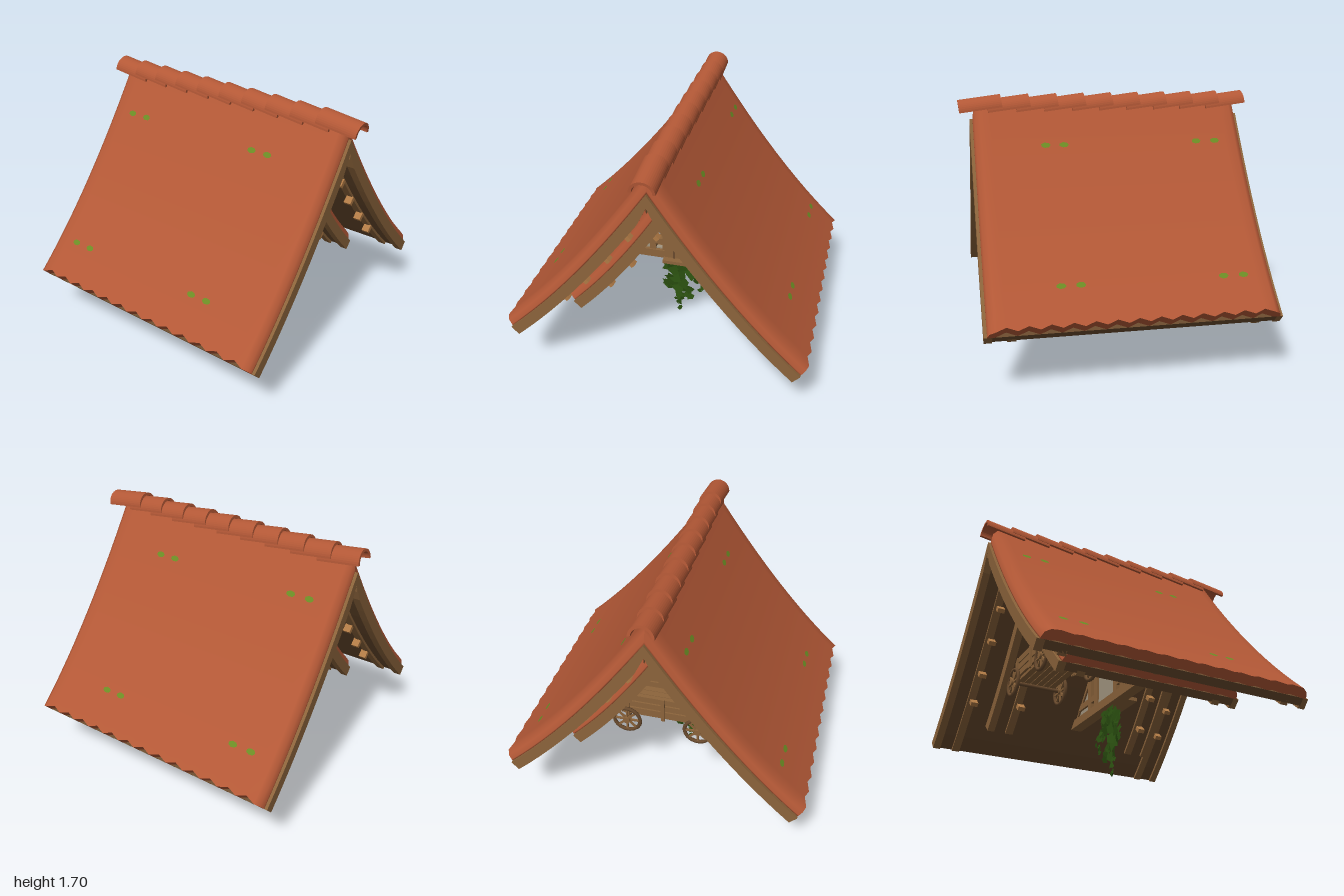
import * as THREE from 'three';

const mat = (name, color, side = THREE.FrontSide) => {
  const m = new THREE.MeshStandardMaterial({ color, side });
  m.name = name;
  return m;
};

export function createModel() {
  const tile = mat('clay tile', 0xb35836, THREE.DoubleSide);
  const wood = mat('timber', 0x8c643b);
  const dark = mat('dark timber', 0x694a2d);
  const slit = mat('slit shadow', 0x35241a);
  const peg = mat('peg wood', 0xb07a45);
  const plaster = mat('plaster', 0xa39681);
  const moss = mat('moss', 0x6b8c25, THREE.DoubleSide);
  const leaf = mat('ivy green', 0x2b5010, THREE.DoubleSide);

  const model = new THREE.Group();
  const add = (name, geo, material, x = 0, y = 0, z = 0, parent = model) => {
    const m = new THREE.Mesh(geo, material);
    m.name = name;
    m.position.set(x, y, z);
    parent.add(m);
    return m;
  };
  const box = (name, w, h, d, material, x, y, z, parent) =>
    add(name, new THREE.BoxGeometry(w, h, d), material, x, y, z, parent);

  // Sagging slope from ridge to eave; d is the depth below the tile surface
  const slope = (top, mid, eave) => {
    const curve = new THREE.QuadraticBezierCurve(
      new THREE.Vector2(0, top), new THREE.Vector2(...mid), new THREE.Vector2(...eave));
    return (t, d) => {
      const p = curve.getPoint(t), g = curve.getTangent(t);
      return t === 0 ? new THREE.Vector2(0, p.y - d / g.x)
        : new THREE.Vector2(Math.max(0, p.x + g.y * d), p.y - g.x * d);
    };
  };
  const outer = slope(1.655, [0.51, 0.88], [1, 0.43]);
  const inner = slope(1.385, [0.34, 0.82], [0.665, 0.495]);
  const N = 12, zRoof = -0.014;

  // Gable-shaped band following both slopes between two depths
  const band = (name, f, d0, d1, z0, z1, material) => {
    const pts = [];
    for (let i = -N; i <= N; i++) {
      const p = f(Math.abs(i) / N, d0);
      pts.push(new THREE.Vector2(Math.sign(i) * p.x, p.y));
    }
    for (let i = N; i >= -N; i--) {
      const p = f(Math.abs(i) / N, d1);
      pts.push(new THREE.Vector2(Math.sign(i) * p.x, p.y));
    }
    const geo = new THREE.ExtrudeGeometry(new THREE.Shape(pts), { depth: z1 - z0, bevelEnabled: false });
    return add(name, geo, material, 0, 0, z0 + zRoof);
  };

  // Tile covering: rounded verge ends and an eave cut in a zigzag
  const tileSheet = (name, f, half, waves, side) => {
    const ring = [[-half, 0.055], [-half + 0.012, 0.022]];
    for (let j = 0; j <= waves * 2; j++)
      ring.push([(half - 0.045) * (j / waves - 1), 0, j % 2 ? 0.02 : 0]);
    ring.push([half - 0.012, 0.022], [half, 0.055]);
    const all = ring.concat(ring.map(([z, , w]) => [z, 0.065, w]).reverse());
    const pos = [], idx = [], R = all.length;
    for (let i = 0; i <= N; i++) for (const [z, d, w = 0] of all) {
      const p = f(i / N - (i === N ? w : 0), d);
      pos.push(side * p.x, p.y, z);
    }
    const quad = (a, b, c, d) => side > 0 ? idx.push(a, b, c, a, c, d) : idx.push(a, c, b, a, d, c);
    for (let i = 0; i < N; i++) for (let j = 0; j < R; j++) {
      const k = (j + 1) % R;
      quad(i * R + j, i * R + k, (i + 1) * R + k, (i + 1) * R + j);
    }
    // eave end face with its own corners
    const base = pos.length / 3, last = N * R * 3;
    pos.push(...pos.slice(last, last + R * 3));
    for (let j = 0; j < ring.length - 1; j++)
      quad(base + j, base + j + 1, base + R - 2 - j, base + R - 1 - j);
    const geo = new THREE.BufferGeometry();
    geo.setAttribute('position', new THREE.Float32BufferAttribute(pos, 3));
    geo.setIndex(idx);
    geo.computeVertexNormals();
    add(name, geo, tile, 0, 0, zRoof);
  };

  // Overlapping half-round ridge tiles
  const ridge = (name, y, end, count, r) => {
    const len = 0.28, step = (2 * end - len) / (count - 1);
    const s = new THREE.Shape();
    s.absarc(0, 0, r, 0, Math.PI, false);
    s.absarc(0, 0, r - 0.018, Math.PI, 0, true);
    const geo = new THREE.ExtrudeGeometry(s, { depth: len, bevelEnabled: false, curveSegments: 10 });
    geo.translate(0, 0, -len / 2);
    for (let i = 0; i < count; i++)
      add(name, geo, tile, 0, y, end - len / 2 - i * step).rotation.x = 0.125;
  };

  // Two nested roofs: tiles, boarding, barge boards, rafters and pegs
  const roof = (label, f, half, waves, rafterZ, pegs) => {
    for (const s of [-1, 1]) {
      tileSheet(label + 'RoofTiles', f, half, waves, s);
      const z = s * (half - 0.005);
      band(label + 'BargeBoard', f, 0.064, 0.134, z - 0.025, z + 0.025, wood);
      band(label + 'Rafter', f, 0.1, 0.133, s * rafterZ - 0.027, s * rafterZ + 0.027, wood);
      for (const x of [-1, 1]) for (const t of pegs) {
        const p = f(t, 0.155);
        box(label + 'Peg', 0.03, 0.055, 0.05, peg, x * p.x, p.y, s * rafterZ).rotation.z = -x * 0.8;
      }
    }
    band(label + 'Boarding', f, 0.063, 0.116, -half + 0.02, half - 0.02, dark);
  };
  roof('outer', outer, 0.9, 13, 0.755, [0.29, 0.43, 0.58, 0.72]);
  roof('inner', inner, 0.62, 9, 0.48, [0.3, 0.55, 0.78]);
  ridge('outerRidgeTile', 1.602, 0.972, 10, 0.08);
  ridge('innerRidgeTile', 1.355, 0.67, 7, 0.075);

  // Plaster gable wall with low openings either side of the hatch
  const wallPts = [];
  for (let i = -10; i <= 10; i++) {
    const p = outer(Math.abs(i) / N, 0.1);
    wallPts.push(new THREE.Vector2(Math.sign(i) * p.x, Math.max(0.52, p.y)));
  }
  wallPts.push(new THREE.Vector2(0.8, 0.52), new THREE.Vector2(-0.8, 0.52));
  const wall = new THREE.Shape(wallPts);
  for (const x of [-0.19, 0.19]) {
    const h = new THREE.Path();
    h.moveTo(x - 0.06, 0.56).lineTo(x + 0.06, 0.56).lineTo(x + 0.06, 0.84).lineTo(x - 0.06, 0.84).closePath();
    wall.holes.push(h);
  }
  add('gableWall', new THREE.ExtrudeGeometry(wall, { depth: 0.03, bevelEnabled: false }), plaster, 0, 0, -0.015);

  // Timber framing on the wall
  box('tieBeam', 1.68, 0.06, 0.08, wood, 0, 0.52, 0);
  for (const s of [-1, 1]) {
    box('post', 0.045, 0.66, 0.06, wood, s * 0.14, 0.87, 0);
    box('outerPost', 0.045, 0.62, 0.06, wood, s * 0.235, 0.85, 0);
    box('rail', 0.3, 0.045, 0.06, wood, s * 0.3, 0.62, 0);
    box('brace', 0.05, 0.3, 0.055, wood, s * 0.35, 0.68, 0).rotation.z = s * 0.75;
    box('lintel', 0.14, 0.045, 0.065, wood, s * 0.19, 0.86, 0);
  }
  const slitShape = new THREE.Shape();
  slitShape.moveTo(-0.026, 0.92).lineTo(0.026, 0.92).lineTo(0.026, 1.14).lineTo(0, 1.185).lineTo(-0.026, 1.14).closePath();
  add('slitWindow', new THREE.ExtrudeGeometry(slitShape, { depth: 0.008, bevelEnabled: false }), slit, 0, 0, 0.016);

  // Boarded hatch and its ledge
  box('hatch', 0.25, 0.24, 0.03, wood, 0, 0.65, 0.09);
  for (const x of [-0.055, 0.055]) box('hatchBatten', 0.014, 0.2, 0.008, dark, x, 0.64, 0.108);
  box('hatchBatten', 0.1, 0.014, 0.008, dark, 0, 0.6, 0.108);
  box('hatchRail', 0.32, 0.025, 0.04, wood, -0.01, 0.77, 0.1);
  box('ledge', 0.26, 0.025, 0.14, wood, 0, 0.535, 0.08);

  // Wooden cart behind the wall
  const cart = new THREE.Group();
  cart.name = 'cart';
  cart.position.set(0, 0.65, -0.43);
  model.add(cart);
  for (let i = 0; i < 6; i++) box('cartPlank', 0.58, 0.02, 0.042, wood, 0, 0.03, -0.115 + i * 0.046, cart);
  for (const s of [-1, 1]) {
    for (let k = 0; k < 3; k++) {
      box('cartSide', 0.6, 0.042, 0.018, wood, 0, 0.065 + k * 0.052, s * 0.14, cart);
      box('cartEnd', 0.018, 0.042, 0.28, wood, s * 0.29, 0.065 + k * 0.052, 0, cart);
    }
    for (const x of [-0.24, 0, 0.24]) box('cartStake', 0.025, 0.18, 0.014, wood, x, 0.11, s * 0.155, cart);
    const axle = add('axle', new THREE.CylinderGeometry(0.014, 0.014, 0.36, 8), dark, s * 0.24, 0, 0, cart);
    axle.rotation.x = Math.PI / 2;
    for (const z of [-0.175, 0.175]) {
      const wheel = new THREE.Group();
      wheel.name = 'wheel';
      wheel.position.set(s * 0.24, 0, z);
      cart.add(wheel);
      add('rim', new THREE.TorusGeometry(0.09, 0.013, 6, 18), dark, 0, 0, 0, wheel);
      add('hub', new THREE.CylinderGeometry(0.024, 0.024, 0.04, 8), wood, 0, 0, 0, wheel).rotation.x = Math.PI / 2;
      for (let k = 0; k < 4; k++) box('spoke', 0.012, 0.17, 0.012, wood, 0, 0, 0, wheel).rotation.z = k * Math.PI / 4;
    }
  }

  // Moss patches lying on both slopes
  const patch = new THREE.CircleGeometry(1, 7);
  for (const s of [-1, 1]) for (const t of [0.187, 0.805]) for (const z of [0.43, 0.31, -0.59, -0.72]) {
    const p = outer(t, -0.005), q = outer(t + 0.02, -0.005);
    const m = add('moss', patch, moss, s * p.x, p.y, z);
    m.scale.set(0.032, 0.02, 1);
    m.rotation.set(0, s * Math.PI / 2, 0);
    m.rotateX(-Math.atan2(q.x - p.x, p.y - q.y));
  }

  // Hanging ivy: a spray of flat angular leaves
  let seed = 7;
  const rnd = () => (seed = (seed * 16807) % 2147483647) / 2147483647;
  const ls = new THREE.Shape();
  ls.moveTo(0, -1).lineTo(0.75, -0.1).lineTo(0.45, 0.8).lineTo(0, 0.5).lineTo(-0.6, 0.75).lineTo(-0.7, -0.2).closePath();
  const leafGeo = new THREE.ShapeGeometry(ls);
  const ivy = new THREE.Group();
  ivy.name = 'ivy';
  model.add(ivy);
  const spray = (x, y, w, h, n, size) => {
    for (let i = 0; i < n; i++) {
      const l = add('leaf', leafGeo, leaf, x + (rnd() - 0.5) * w, y + (rnd() - 0.5) * h, (rnd() - 0.5) * 0.03, ivy);
      l.scale.setScalar(size * (0.7 + rnd() * 0.5));
      l.rotation.set((rnd() - 0.5) * 0.6, (rnd() - 0.5) * 0.6, rnd() * 6.28);
    }
  };
  spray(0.02, 0.46, 0.14, 0.06, 9, 0.045);
  spray(-0.03, 0.38, 0.2, 0.1, 16, 0.055);
  spray(-0.08, 0.27, 0.13, 0.13, 14, 0.055);
  spray(-0.01, 0.18, 0.11, 0.09, 9, 0.04);
  spray(0.12, 0.32, 0.08, 0.07, 8, 0.032);
  spray(0.135, 0.24, 0.06, 0.08, 6, 0.022);
  spray(-0.05, 0.09, 0.06, 0.09, 8, 0.024);
  box('ivyTip', 0.025, 0.025, 0.008, leaf, -0.045, 0.0177, 0, ivy).rotation.z = Math.PI / 4;

  return model;
}
